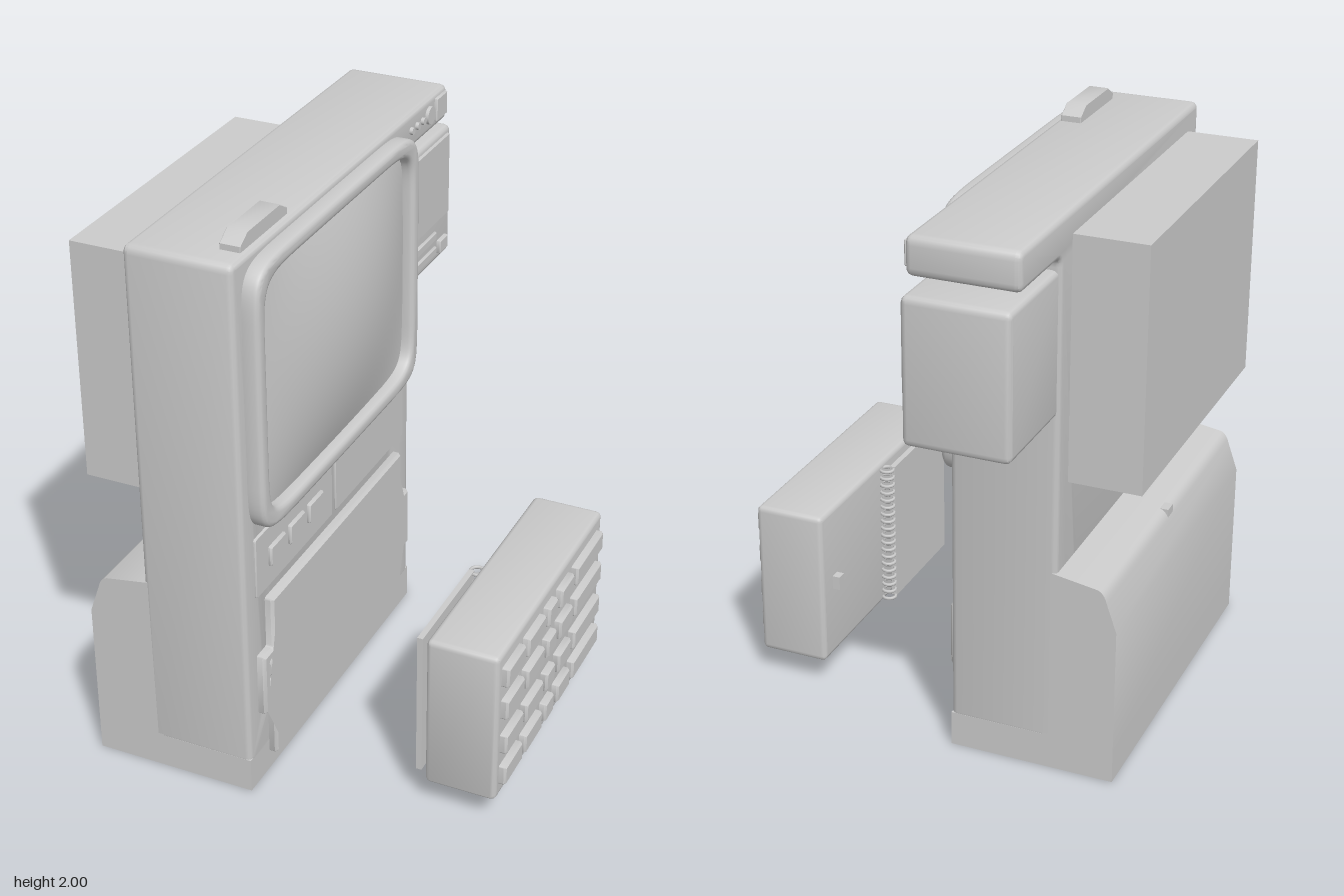
import * as THREE from 'three';
import { toCreasedNormals } from 'three/addons/utils/BufferGeometryUtils.js';

const material = new THREE.MeshStandardMaterial({ color: 0xcccccc, side: THREE.DoubleSide });

// Outlines are drawn in (u, y) with u = -z, then extruded along x.
function roundPoly(points, r, target = new THREE.Shape()) {
  const v = points.map(([a, b]) => new THREE.Vector2(a, b));
  v.forEach((p, i) => {
    const prev = v[(i + v.length - 1) % v.length];
    const next = v[(i + 1) % v.length];
    const a = p.clone().add(prev.clone().sub(p).setLength(r));
    const b = p.clone().add(next.clone().sub(p).setLength(r));
    if (i === 0) target.moveTo(a.x, a.y);
    else target.lineTo(a.x, a.y);
    target.quadraticCurveTo(p.x, p.y, b.x, b.y);
  });
  target.closePath();
  return target;
}

// Rectangle given by its z and y limits
function rect(z0, z1, y0, y1, r = 0.01, target) {
  return roundPoly([[-z1, y0], [-z0, y0], [-z0, y1], [-z1, y1]], r, target);
}

// Barrel-sided rounded rectangle for the screen surround
function barrel(hw, hh) {
  const pts = [];
  for (let i = 0; i < 72; i++) {
    const a = (i / 72) * Math.PI * 2;
    const f = (t) => Math.sign(t) * Math.pow(Math.abs(t), 0.2);
    pts.push(new THREE.Vector2(-0.175 + hw * f(Math.cos(a)), 1.452 + hh * f(Math.sin(a))));
  }
  return pts;
}

// Stepped outline of the keypad bay, with an ear on each side
function bayOutline(inset, target) {
  const c = -0.175, w = 0.51 - inset, e = 0.578 - inset;
  const y0 = 0.07 + inset, y1 = 0.7 - inset, e0 = 0.277 + inset, e1 = 0.51 - inset;
  return roundPoly([
    [c - w, y0], [c + w, y0], [c + w, e0], [c + e, e0], [c + e, e1], [c + w, e1],
    [c + w, y1], [c - w, y1], [c - w, e1], [c - e, e1], [c - e, e0], [c - w, e0],
  ], 0.01, target);
}

export function createModel() {
  const root = new THREE.Group();

  function add(parent, name, geometry) {
    const mesh = new THREE.Mesh(geometry, material);
    mesh.name = name;
    parent.add(mesh);
    return mesh;
  }
  function group(name) {
    const g = new THREE.Group();
    g.name = name;
    root.add(g);
    return g;
  }
  // Extrude an outline from x0 to x1 with bevelled edges
  function slab(parent, name, shape, x0, x1, bevel = 0.008) {
    const g = new THREE.ExtrudeGeometry(shape, {
      depth: x1 - x0 - 2 * bevel, bevelEnabled: true, bevelThickness: bevel, bevelSize: bevel,
      bevelOffset: -bevel, bevelSegments: bevel > 0.015 ? 3 : 1, curveSegments: 4,
    });
    g.translate(0, 0, x0 + bevel);
    g.rotateY(Math.PI / 2);
    return add(parent, name, toCreasedNormals(g, 0.6));
  }
  function box(parent, name, x0, x1, y0, y1, z0, z1) {
    const g = new THREE.BoxGeometry(x1 - x0, y1 - y0, z1 - z0);
    g.translate((x0 + x1) / 2, (y0 + y1) / 2, (z0 + z1) / 2);
    return add(parent, name, g);
  }

  // Main column with top arm and open keypad bay
  const cabinet = group('cabinet');
  const column = roundPoly([[-0.82, 0.1], [0.46, 0.1], [0.46, 1.82], [0.78, 1.82], [0.78, 1.95], [-0.825, 1.95]], 0.03);
  column.holes.push(bayOutline(0.06, new THREE.Path()));
  slab(cabinet, 'column', column, -0.48, -0.11, 0.02);

  // Skirt around the hollow underside
  const skirt = new THREE.Shape();
  skirt.moveTo(-0.69, -0.82).lineTo(-0.11, -0.82).lineTo(-0.11, 0.46).lineTo(-0.69, 0.46).closePath();
  const hollow = new THREE.Path();
  hollow.moveTo(-0.67, -0.8).lineTo(-0.67, 0.44).lineTo(-0.135, 0.44).lineTo(-0.135, -0.8).closePath();
  skirt.holes.push(hollow);
  const skirtGeometry = new THREE.ExtrudeGeometry(skirt, { depth: 0.125, bevelEnabled: false });
  skirtGeometry.rotateX(-Math.PI / 2);
  add(cabinet, 'skirt', skirtGeometry);

  // Deep rear base with sloping shoulder
  const rear = new THREE.Shape();
  rear.moveTo(-0.69, 0.1).lineTo(-0.44, 0.1).lineTo(-0.44, 0.78).lineTo(-0.465, 0.78).lineTo(-0.465, 0.74);
  rear.lineTo(-0.62, 0.715).quadraticCurveTo(-0.645, 0.71, -0.655, 0.67).lineTo(-0.69, 0.57).closePath();
  const rearGeometry = new THREE.ExtrudeGeometry(rear, { depth: 1.28, bevelEnabled: false, curveSegments: 5 });
  rearGeometry.translate(0, 0, -0.46);
  add(cabinet, 'rearBase', toCreasedNormals(rearGeometry, 0.6));
  box(cabinet, 'rearClip', -0.65, -0.61, 0.65, 0.715, 0.15, 0.2);
  box(cabinet, 'rearHousing', -0.73, -0.46, 1.03, 1.87, -0.37, 0.72);

  // Top button with sloping ends
  const button = new THREE.Shape();
  button.moveTo(-0.73, 1.94).lineTo(-0.42, 1.94).lineTo(-0.42, 1.97).lineTo(-0.47, 2);
  button.lineTo(-0.68, 2).lineTo(-0.73, 1.97).closePath();
  slab(cabinet, 'topButton', button, -0.2, -0.13, 0.002);

  // Screen surround and bulging glass
  const display = group('display');
  const surround = new THREE.Shape(barrel(0.6, 0.472));
  surround.holes.push(new THREE.Path(barrel(0.545, 0.418)));
  slab(display, 'screenSurround', surround, -0.13, -0.055, 0.018);
  const glass = new THREE.PlaneGeometry(1.13, 0.87, 24, 20);
  glass.rotateY(Math.PI / 2);
  const p = glass.attributes.position;
  for (let i = 0; i < p.count; i++) {
    p.setX(i, -0.1 + 0.08 * (1 - (p.getZ(i) / 0.565) ** 2) * (1 - (p.getY(i) / 0.435) ** 2));
  }
  glass.translate(0, 1.452, 0.175);
  glass.computeVertexNormals();
  add(display, 'screenGlass', glass);

  // Two panels under the screen, one with switches
  const panels = group('panels');
  for (const [z0, z1] of [[0.19, 0.75], [-0.395, 0.165]]) {
    slab(panels, 'panel', rect(z0, z1, 0.735, 0.96), -0.13, -0.102, 0.004);
  }
  for (const z of [0.61, 0.47, 0.33]) {
    slab(panels, 'switch', rect(z - 0.055, z + 0.055, 0.81, 0.885), -0.12, -0.09, 0.006);
  }

  // Side housing with small window, slots and key
  const side = group('sideHousing');
  slab(side, 'housing', rect(-0.83, -0.43, 1.29, 1.78, 0.025), -0.47, -0.115, 0.02);
  slab(side, 'window', rect(-0.806, -0.49, 1.448, 1.756), -0.13, -0.107, 0.005);
  for (const y of [1.384, 1.326]) slab(side, 'slot', rect(-0.695, -0.488, y, y + 0.032, 0.004), -0.13, -0.105, 0.004);
  slab(side, 'smallKey', rect(-0.785, -0.716, 1.32, 1.37, 0.004), -0.13, -0.1, 0.004);

  // Controls on the top arm
  const controls = group('armControls');
  for (const [z, r] of [[-0.467, 0.013], [-0.515, 0.013], [-0.562, 0.013], [-0.62, 0.032]]) {
    const knob = add(controls, 'armKnob', new THREE.CylinderGeometry(r, r, 0.03, 20));
    knob.rotation.z = Math.PI / 2;
    knob.position.set(-0.113, 1.888, z);
  }
  slab(controls, 'armGrille', rect(-0.76, -0.67, 1.846, 1.93, 0.004), -0.13, -0.1, 0.004);

  // Raised rim of the bay, with a pivot in each ear
  const bay = group('keypadBay');
  const rim = bayOutline(0);
  rim.holes.push(bayOutline(0.04, new THREE.Path()));
  slab(bay, 'bayRim', rim, -0.13, -0.08, 0.01);
  for (const s of [-1, 1]) {
    for (const [r, length, offset] of [[0.038, 0.1, 0.5], [0.055, 0.02, 0.475], [0.05, 0.02, 0.44]]) {
      const pivot = add(bay, 'pivot', new THREE.CylinderGeometry(r, r, length, 20));
      pivot.rotation.x = Math.PI / 2;
      pivot.position.set(-0.16, 0.393, 0.175 + s * offset);
    }
  }

  // Detached keypad block
  const keypad = group('keypad');
  slab(keypad, 'keypadBody', rect(-0.31, 0.65, 0.1, 0.67, 0.02), 0.445, 0.695, 0.018);
  const columns = [[0.467, 0.62], [0.286, 0.44], [0.175, 0.255], [0.021, 0.138], [-0.265, -0.01]];
  for (const y of [0.154, 0.281, 0.419, 0.546]) {
    for (const [z0, z1] of columns) {
      slab(keypad, 'key', rect(z0, z1, y, y + 0.073, 0.006), 0.68, 0.72, 0.008);
    }
  }

  // Rear flap of the keypad on a row of binding rings
  box(keypad, 'rearFlap', 0.402, 0.422, 0.12, 0.65, 0.19, 0.62);
  for (let i = 0; i < 19; i++) {
    const ring = add(keypad, 'bindingRing', new THREE.TorusGeometry(0.024, 0.006, 6, 14));
    ring.rotation.x = Math.PI / 2;
    ring.position.set(0.427, 0.12 + i * 0.029, 0.177);
  }
  box(keypad, 'flapCatch', 0.418, 0.437, 0.36, 0.41, 0.54, 0.58);
  box(keypad, 'bodyCatch', 0.418, 0.45, 0.36, 0.41, -0.235, -0.2);

  return root;
}
